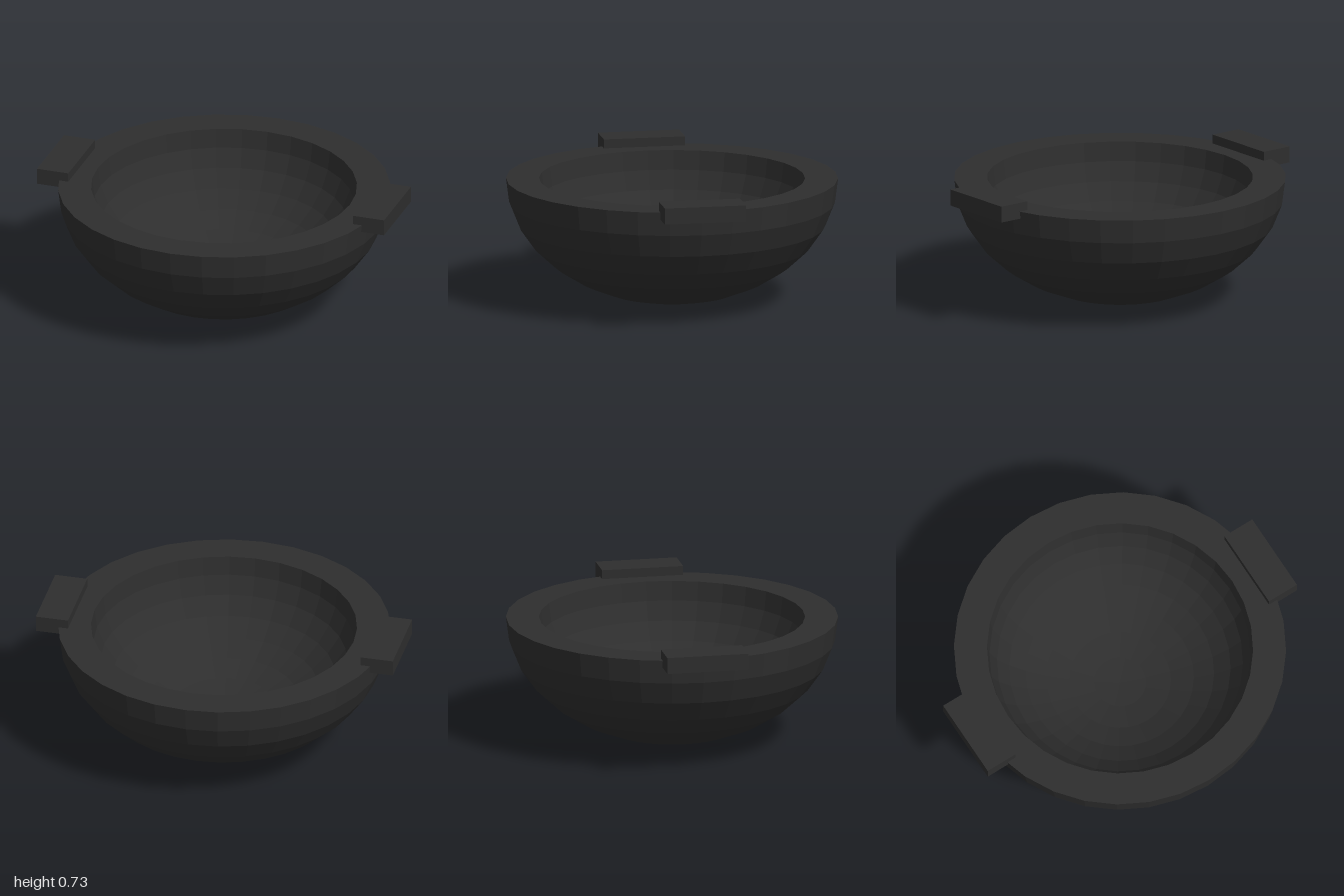
import * as THREE from 'three';

const SEGMENTS = 32;
const RIM_Y = 0.68;
const OUTER = { radius: 0.905, depth: 0.68 };
const INNER = { radius: 0.725, depth: 0.545 };

// Quarter-ellipse profile running from the bottom pole up to the rim
function bowlArc({ radius, depth }, steps = 8) {
  return Array.from({ length: steps + 1 }, (_, i) => {
    const a = (i / steps) * Math.PI / 2;
    return new THREE.Vector2(radius * Math.sin(a), RIM_Y - depth * Math.cos(a));
  });
}

export function createModel() {
  const iron = new THREE.MeshStandardMaterial({ color: 0x2e2e2e, flatShading: true });
  iron.name = 'dark iron';

  const model = new THREE.Group();
  model.name = 'bowl';

  const addLathe = (name, points) => {
    const mesh = new THREE.Mesh(new THREE.LatheGeometry(points, SEGMENTS), iron);
    mesh.name = name;
    model.add(mesh);
  };

  // Outer shell, flat rim and hollow inside
  addLathe('outerShell', bowlArc(OUTER));
  addLathe('rim', [new THREE.Vector2(OUTER.radius, RIM_Y), new THREE.Vector2(INNER.radius, RIM_Y)]);
  addLathe('innerShell', bowlArc(INNER).reverse());

  // Block handles sitting across the rim on both sides
  for (const [name, side] of [['leftHandle', 1], ['rightHandle', -1]]) {
    const handle = new THREE.Mesh(new THREE.BoxGeometry(0.18, 0.09, 0.45), iron);
    handle.name = name;
    handle.position.set(side * 0.91, 0.685, 0);
    model.add(handle);
  }

  return model;
}
